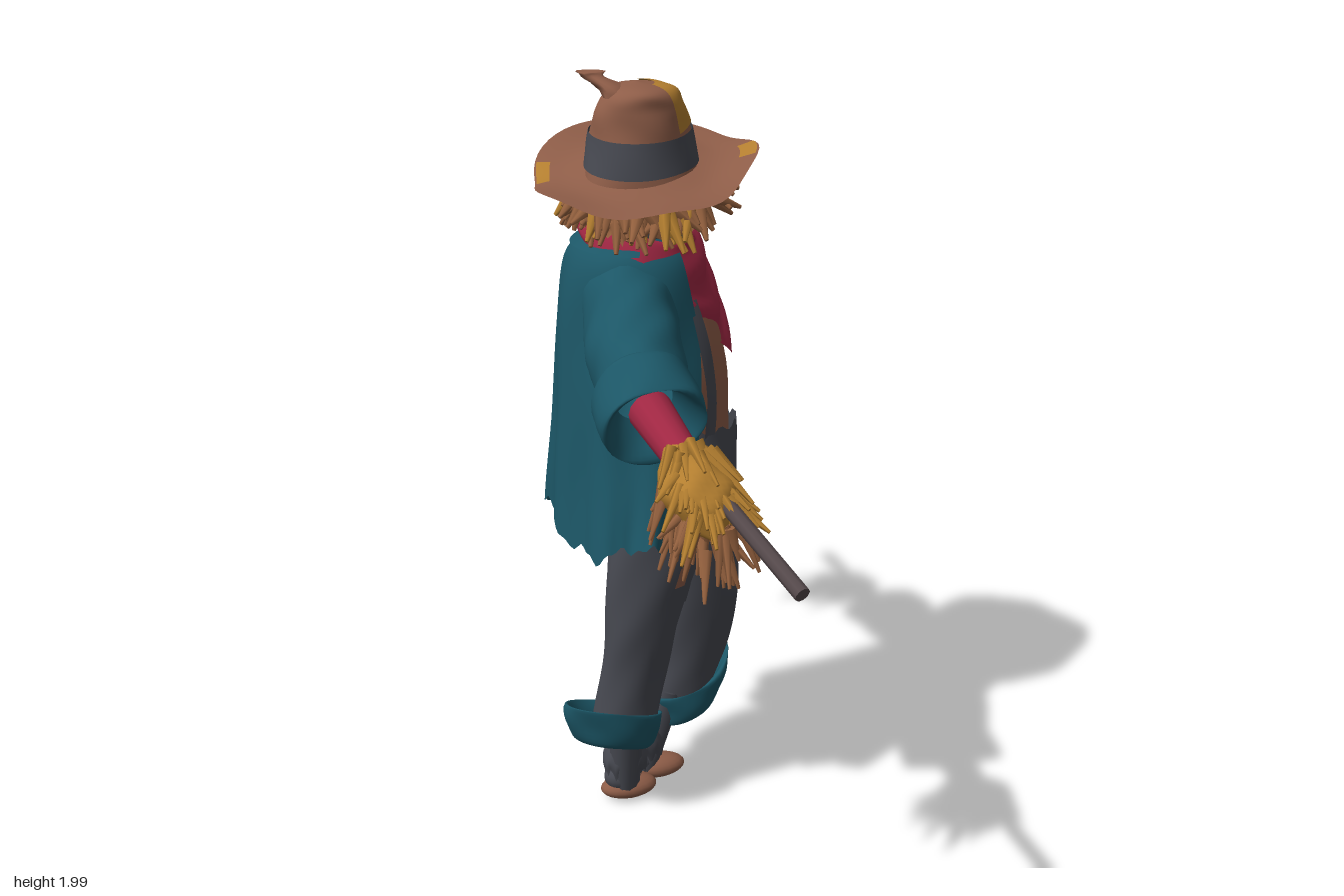
import * as THREE from 'three';
import { mergeGeometries } from 'three/addons/utils/BufferGeometryUtils.js';

const V3 = (x, y, z) => new THREE.Vector3(x, y, z);
const TAU = Math.PI * 2;

function mat(name, color) {
  const m = new THREE.MeshStandardMaterial({ color, side: THREE.DoubleSide });
  m.name = name;
  return m;
}

// Skin over elliptical rings, rows = [x, y, z, radiusU, radiusV]; fn(p, angle, t) adjusts a point
function loft(rows, o = {}) {
  const { u = V3(1, 0, 0), v = V3(0, 0, 1), a0 = 0, a1 = TAU, t0 = 0, t1 = 1, grow = 1, nu = 36, nt = 18, wob = 0, fn } = o;
  const path = new THREE.CatmullRomCurve3(rows.map(r => V3(r[0], r[1], r[2])), false, 'catmullrom');
  const size = new THREE.CatmullRomCurve3(rows.map(r => V3(r[3], r[4], 0)), false, 'catmullrom');
  const closed = a1 - a0 > TAU - 0.001, cols = closed ? nu : nu + 1;
  const pos = [], idx = [];
  for (let j = 0; j <= nt; j++) {
    const t = t0 + (t1 - t0) * j / nt, c = path.getPoint(t), s = size.getPoint(t);
    for (let i = 0; i < cols; i++) {
      const a = a0 + (a1 - a0) * i / nu;
      const g = grow * (1 + wob * (Math.sin(3 * a + 11 * t) + 0.7 * Math.sin(5 * a - 17 * t)));
      const p = c.clone().addScaledVector(u, Math.cos(a) * s.x * g).addScaledVector(v, Math.sin(a) * s.y * g);
      if (fn) fn(p, a, t);
      pos.push(p.x, p.y, p.z);
      if (j < nt && i < nu) {
        const k = j * cols + i, n = j * cols + (i + 1) % cols;
        idx.push(k, n, k + cols, n, n + cols, k + cols);
      }
    }
  }
  const geo = new THREE.BufferGeometry();
  geo.setAttribute('position', new THREE.Float32BufferAttribute(pos, 3));
  geo.setIndex(idx);
  geo.computeVertexNormals();
  return geo;
}

// Straight tapered rod between two points
function rod(p, q, r0, r1, sides = 8) {
  const d = q.clone().sub(p), g = new THREE.CylinderGeometry(r1, r0, d.length(), sides);
  g.applyQuaternion(new THREE.Quaternion().setFromUnitVectors(V3(0, 1, 0), d.clone().normalize()));
  const m = p.clone().add(q).multiplyScalar(0.5);
  return g.translate(m.x, m.y, m.z);
}

export function createModel() {
  const root = new THREE.Group();
  let seed = 7;
  const rnd = () => (seed = (seed * 16807) % 2147483647) / 2147483647;
  const vary = s => (rnd() - 0.5) * 2 * s;
  const teal = mat('teal cloth', 0x1c5666), red = mat('red cloth', 0xa02743), grey = mat('grey cloth', 0x474951);
  const brown = mat('hat brown', 0x8e5d48), mustard = mat('mustard straw', 0xb47f30), straw = mat('dry straw', 0x96623f);
  const dark = mat('brim lining', 0x7c6862), wood = mat('stick wood', 0x55494b);
  const add = (name, geo, m) => {
    const mesh = new THREE.Mesh(geo, m);
    mesh.name = name;
    root.add(mesh);
    return mesh;
  };
  const jag = a => Math.sin(a * 13) * 0.6 + Math.sin(a * 29 + 1) * 0.4;

  // Hat: wavy tilted brim, crown, band, curled tip and patches
  const tilt = p => { p.y += 0.13 * p.x - 0.22 * (p.z + 0.025); };
  const brimFn = p0 => (p, a, t) => {
    const k = 1 + 0.035 * t * (Math.sin(3 * a + 1) + 0.6 * Math.sin(7 * a));
    p.x *= k; p.z *= k;
    tilt(p);
    p.y += p0 * (1 - t) + t * t * (0.014 * Math.sin(3 * a + 0.6) + 0.008 * Math.sin(5 * a));
  };
  const brim = [[0, 1.772, -0.02, 0.11, 0.11], [0, 1.758, -0.025, 0.19, 0.185], [0, 1.762, -0.025, 0.272, 0.268]];
  add('hatBrim', loft(brim, { nu: 64, fn: brimFn(0) }), brown);
  add('hatBrimUnderside', loft(brim, { nu: 64, fn: brimFn(-0.03) }), dark);
  [[0.1, 0.4], [3.25, 3.7]].forEach(([a0, a1]) => add('brimPatch',
    loft(brim, { a0, a1, t0: 0.75, t1: 0.97, nu: 10, nt: 6, fn: (p, a, t) => { brimFn(0)(p, a, t); p.y += 0.004; } }), mustard));
  const crown = [[-0.005, 1.755, -0.01, 0.137, 0.122], [-0.005, 1.845, -0.01, 0.122, 0.108], [-0.01, 1.91, 0, 0.102, 0.095],
    [-0.01, 1.95, 0.005, 0.072, 0.08], [-0.02, 1.965, 0, 0.002, 0.002]];
  const crownFn = (p, a, t) => { p.y += (1 - t) * (0.08 * p.x - 0.2 * p.z); };
  add('hatCrown', loft(crown, { wob: 0.018, nt: 30, fn: crownFn }), brown);
  add('hatBand', loft(crown, { t0: 0.05, t1: 0.27, grow: 1.045, nt: 8, wob: 0.01, fn: crownFn }), grey);
  add('crownPatch', loft(crown, { a0: -1.3, a1: 0.95, t0: 0.29, t1: 0.88, grow: 1.03, wob: 0.018,
    fn: (p, a, t) => { crownFn(p, a, t); p.y += 0.003 + 0.004 * Math.sin(a * 5) * (1 - t); } }), mustard);
  add('hatTip', loft([[-0.05, 1.93, 0.005, 0.05, 0.045], [-0.08, 1.955, -0.01, 0.036, 0.036], [-0.115, 1.975, -0.035, 0.026, 0.028],
    [-0.12, 1.985, -0.045, 0.034, 0.028], [-0.14, 1.98, -0.045, 0.004, 0.004]], { wob: 0.08, nu: 14 }), brown);

  // Head and straw hair
  const head = add('head', new THREE.SphereGeometry(0.115, 24, 16), grey);
  head.scale.y = 1.2;
  head.position.set(0.01, 1.65, -0.01);
  const hairTilt = p => { p.y += 0.08 * p.x - 0.2 * p.z; return p; };
  add('hairMass', loft([[0, 1.745, -0.02, 0.13, 0.14], [0, 1.7, -0.02, 0.16, 0.17], [0, 1.66, -0.02, 0.17, 0.18]],
    { a0: 0.75, a1: TAU - 0.75, nu: 80, nt: 8, wob: 0.02, fn: (p, a, t) => { hairTilt(p).y += t * 0.016 * jag(a * 2); } }), straw);
  const hair = [[], []];
  for (let i = 0; i < 150; i++) {
    const a = rnd() * TAU, r = 0.135 + rnd() * 0.03, e = r + 0.035 + rnd() * 0.04, b = a + vary(0.3);
    const front = Math.cos(a) > 0.75 ? 0.05 : 0;
    const p = V3(Math.cos(a) * r + 0.01, 1.72, Math.sin(a) * r - 0.02);
    const q = V3(Math.cos(b) * e + 0.02, 1.62 + rnd() * 0.06 + front, Math.sin(b) * e - 0.02);
    hair[i % 5 ? 0 : 1].push(rod(hairTilt(p), hairTilt(q), 0.022, 0.005, 6));
  }
  add('hairDry', mergeGeometries(hair[0]), straw);
  add('hairBright', mergeGeometries(hair[1]), mustard);

  // Neckerchief with a long point hanging over the chest
  const scarf = [[0.02, 1.535, 0, 0.175, 0.2], [0, 1.59, 0, 0.165, 0.185], [-0.005, 1.65, 0, 0.135, 0.15], [0.01, 1.63, 0, 0.1, 0.11]];
  add('neckerchief', loft(scarf, { a0: -Math.PI, a1: Math.PI, nu: 80, nt: 28, fn: (p, a, t) => {
    const w = Math.max(0, 1 - Math.abs(a - 0.4) / 1.5), low = 1 - Math.min(1, t / 0.75);
    const front = Math.max(0, Math.cos(a - 0.3));
    p.y += -0.2 * p.z - 0.23 * w * low - 0.05 * front * t + 0.07 * Math.max(0, -Math.cos(a - 0.5)) * low;
    p.z *= 1 - 0.25 * w * low;
    p.x += 0.025 * w * low + 0.008 * Math.sin(t * 22 + a * 3) * front;
  } }), red);

  // Shirt, shirt tail and braces
  const shirt = [[0.04, 1.03, 0.035, 0.165, 0.15], [0.035, 1.25, 0.025, 0.17, 0.175], [0.01, 1.45, 0.01, 0.145, 0.17], [0, 1.6, 0, 0.09, 0.11]];
  add('shirt', loft(shirt, { wob: 0.014 }), brown);
  add('shirtTail', loft([[0.04, 1.12, 0.03, 0.165, 0.16], [0.05, 0.93, 0.035, 0.19, 0.175]],
    { a0: 2, a1: 4.3, wob: 0.014, nt: 6, fn: (p, a, t) => { p.y += t * 0.015 * jag(a); } }), brown);
  add('rightBrace', loft(shirt, { a0: -0.9, a1: -0.5, t0: 0.05, t1: 0.8, grow: 1.05, nu: 6, wob: 0.014 }), grey);
  add('leftBrace', loft(shirt, { a0: 1, a1: 1.2, t0: 0.05, t1: 0.7, grow: 1.04, nu: 5, wob: 0.014 }), grey);

  // Open jacket with ragged hem, lapel and collar
  const jacket = [[-0.02, 1.615, 0, 0.115, 0.13], [-0.03, 1.54, 0, 0.165, 0.185], [-0.02, 1.35, 0, 0.2, 0.215],
    [-0.035, 1.1, 0.01, 0.2, 0.255], [-0.08, 0.885, 0.02, 0.165, 0.3]];
  const jacketFn = (p, a, t) => {
    const fold = t * t * 0.012 * Math.sin(a * 9);
    p.x += Math.cos(a) * fold; p.z += Math.sin(a) * fold;
    if (t > 0.8) p.y += (t - 0.8) / 0.2 * (0.018 * jag(a) + 0.018 * Math.sin(a * 4 + 1) + 0.12 * (p.x + 0.08));
  };
  add('jacket', loft(jacket, { a0: 1.02, a1: TAU - 0.62, nu: 90, nt: 28, wob: 0.01, fn: jacketFn }), teal);
  add('lapel', loft(jacket, { a0: TAU - 1, a1: TAU - 0.6, t0: 0.03, t1: 0.36, grow: 1.05, nu: 8, wob: 0.01 }), teal);
  add('collar', loft(jacket, { a0: 1.8, a1: TAU - 1, t0: 0, t1: 0.13, grow: 1.09, nt: 4 }), teal);

  // Arms: sleeve, turned cuff, wrist wrap, straw hand and stick
  const arms = [
    { s: 1, sleeve: [[-0.06, 1.46, 0.08], [-0.1, 1.38, 0.26], [-0.12, 1.305, 0.44]],
      wrist: V3(-0.1, 1.275, 0.46), palm: V3(-0.085, 1.24, 0.575), hand: V3(-0.05, 1.1, 0.72), end: V3(0.045, 1.075, 0.965) },
    { s: -1, sleeve: [[0, 1.49, -0.08], [0.03, 1.4, -0.27], [0.085, 1.315, -0.45]],
      wrist: V3(0.07, 1.315, -0.47), palm: V3(0.075, 1.29, -0.585), hand: V3(0.1, 1.15, -0.74), end: V3(0.195, 1.135, -0.96) },
  ];
  for (const { s, sleeve, wrist, palm, hand, end } of arms) {
    const v = V3(0, 0.9, 0.43 * s), r = [0.12, 0.113, 0.102];
    add('sleeve', loft(sleeve.map((p, i) => [...p, r[i], r[i] + 0.012]), { v, wob: 0.028, nt: 24 }), teal);
    const e = sleeve[2], at = (k, q) => [e[0], e[1] - 0.5 * k, e[2] + s * k, q, q];
    add('sleeveCuff', loft([at(-0.065, 0.1), at(-0.055, 0.12), at(0.035, 0.122), at(0.04, 0.108), at(-0.03, 0.065)], { v, wob: 0.022 }), teal);
    add('wristWrap', rod(wrist.clone().lerp(palm, -0.5), palm, 0.052, 0.042, 14), red);
    add('stick', rod(wrist, end, 0.019, 0.018, 9), wood);
    const d = hand.clone().sub(palm), at2 = (k, q) => [palm.x + d.x * k, palm.y + d.y * k, palm.z + d.z * k, q, q];
    add('strawHand', loft([at2(-0.12, 0.035), at2(0.12, 0.062), at2(0.45, 0.08), at2(0.75, 0.06), at2(1, 0.01)], { v: V3(0, 0.65, 0.76 * s), wob: 0.06 }), mustard);
    // Bright strands fan out over the top, dry ones droop beneath
    const bits = [[], []];
    for (let i = 0; i < 130; i++) {
      const bright = i % 5 < 2, k = rnd() * 0.85, side = vary(1);
      const p = palm.clone().lerp(hand, k).add(V3(side * 0.05, bright ? 0.035 + rnd() * 0.02 : -0.01 + vary(0.035), s * (bright ? 0.025 : vary(0.04))));
      const q = p.clone().add(bright ? V3(side * 0.06, -0.04 - rnd() * 0.04, s * (0.03 + rnd() * 0.06))
        : V3(side * 0.04 + vary(0.03), -0.05 - rnd() * 0.12, s * (rnd() * 0.09 - 0.02)));
      bits[bright ? 1 : 0].push(rod(p, q, 0.014, 0.004, 5));
    }
    add('handStrawDry', mergeGeometries(bits[0]), straw);
    add('handStrawBright', mergeGeometries(bits[1]), mustard);
  }

  // Trousers: hips, two baggy legs, ragged waist
  add('hips', loft([[0.085, 1.13, 0.04, 0.14, 0.145], [0.075, 1.02, 0.04, 0.155, 0.155], [0.06, 0.9, 0.035, 0.165, 0.15], [0.05, 0.8, 0.03, 0.115, 0.09], [0.05, 0.74, 0.03, 0.04, 0.03]],
    { nu: 60, wob: 0.01, fn: (p, a, t) => { if (t < 0.08) p.y += 0.015 * jag(a); } }), grey);
  const legL = [[0.05, 1, 0.1, 0.145, 0.09], [0.01, 0.82, 0.1, 0.13, 0.092], [-0.03, 0.62, 0.095, 0.1, 0.084], [-0.05, 0.45, 0.08, 0.09, 0.075], [-0.08, 0.24, 0.07, 0.09, 0.07]];
  const legR = [[0.1, 1, -0.02, 0.135, 0.095], [0.135, 0.82, -0.035, 0.125, 0.09], [0.175, 0.6, -0.05, 0.108, 0.08], [0.165, 0.4, -0.08, 0.1, 0.07], [0.13, 0.24, -0.1, 0.09, 0.07]];
  add('leftLeg', loft(legL, { wob: 0.024, nt: 34 }), grey);
  add('rightLeg', loft(legR, { wob: 0.02, nt: 34 }), grey);
  add('kneePatch', loft(legL, { a0: 0.95, a1: 1.25, t0: 0.31, t1: 0.38, grow: 1.03, wob: 0.024, nu: 6, nt: 5 }), brown);
  add('tornFlap', loft(legL, { a0: 0.8, a1: 1.35, t0: 0.38, t1: 0.44, grow: 1.1, nu: 8, nt: 4, wob: 0.03 }), grey);

  // Turned-up trouser cuffs, shins, ankle rags and shoes
  [[-0.11, 0.275, 0.075, -0.25, 0.35], [0.145, 0.275, -0.11, 0.32, -0.45]].forEach(([x, y, z, sx, sz], i) => {
    const ring = (h, a, b) => [x, y + h, z, a, b];
    add('trouserCuff', loft([ring(-0.06, 0.06, 0.05), ring(-0.055, 0.105, 0.085), ring(0, 0.127, 0.1), ring(0.05, 0.132, 0.105), ring(0.035, 0.115, 0.09), ring(-0.02, 0.085, 0.065)],
      { wob: 0.022, nt: 24, fn: p => { p.y += sx * (p.x - x) + sz * (p.z - z); } }), teal);
    const foot = i ? V3(0.01, 0.04, -0.055) : V3(-0.06, 0.03, 0.015);
    const knee = V3(x * 0.6, 0.27, z * 0.7);
    add('shin', rod(foot, knee, 0.04, 0.05, 12), grey);
    add('ankleRag', loft([[foot.x, 0.18, foot.z, 0.045, 0.045], [foot.x, 0.13, foot.z, 0.062, 0.055], [foot.x, 0.09, foot.z, 0.056, 0.046]],
      { fn: (p, a, t) => { p.y += t * 0.02 * jag(a); } }), grey);
    const shoe = add('shoe', new THREE.SphereGeometry(1, 20, 12), brown);
    shoe.scale.set(0.08, 0.032, 0.046);
    shoe.position.set(foot.x + (i ? 0.045 : 0.01), i ? 0.036 : 0.032, foot.z);
    const heel = add('shoeHeel', new THREE.SphereGeometry(1, 16, 10), grey);
    heel.scale.set(0.05, 0.04, 0.042);
    heel.position.set(foot.x - 0.01, 0.068, foot.z);
  });
  return root;
}
